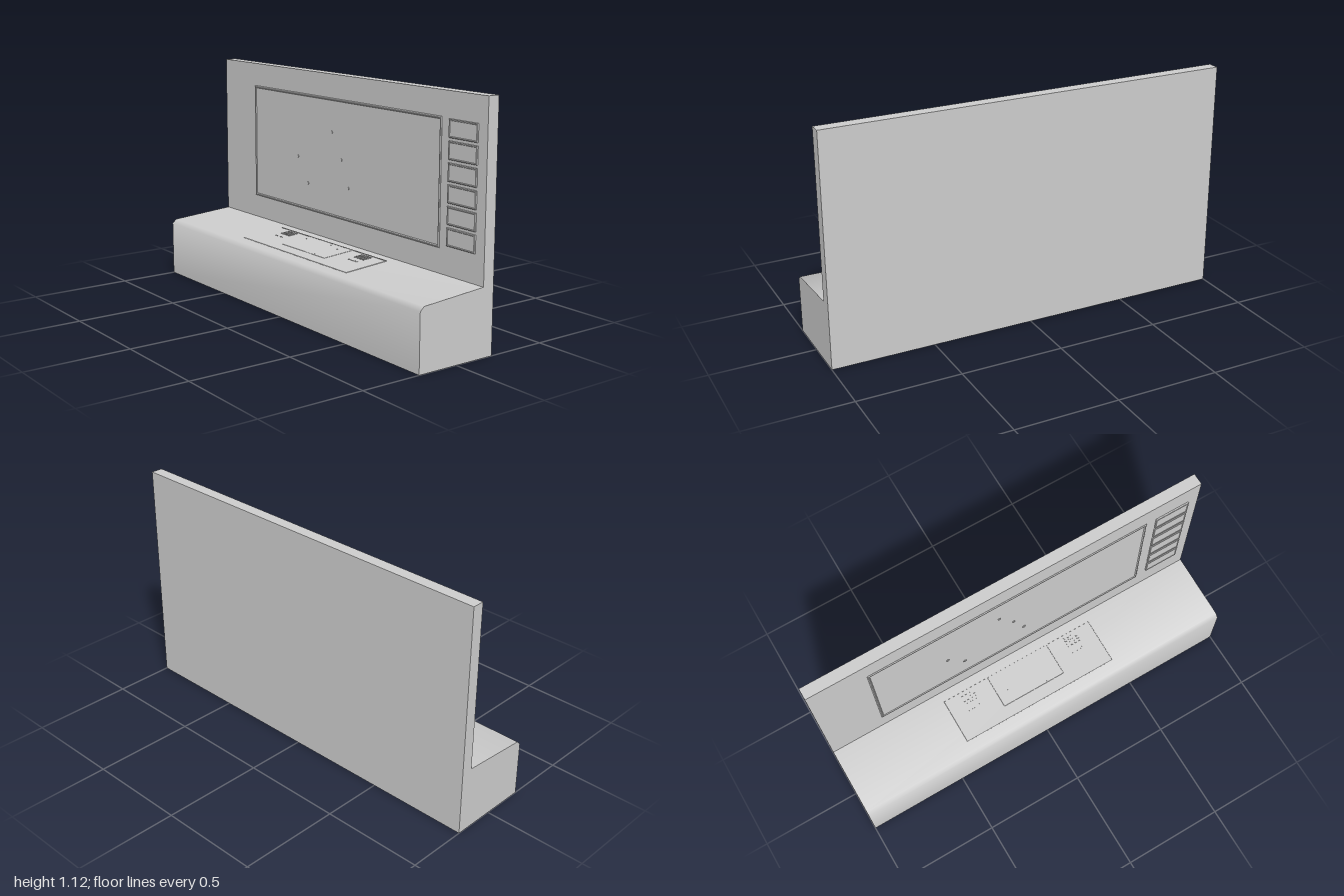
import * as THREE from 'three';
import { toCreasedNormals } from 'three/addons/utils/BufferGeometryUtils.js';

const material = new THREE.MeshStandardMaterial({ color: 0xcccccc });
const WALL_Z = -0.147;

function add(parent, name, geometry, x = 0, y = 0, z = 0) {
  const mesh = new THREE.Mesh(geometry, material);
  mesh.name = name;
  mesh.position.set(x, y, z);
  parent.add(mesh);
  return mesh;
}

function rect(path, w, h) {
  path.moveTo(-w / 2, -h / 2);
  path.lineTo(w / 2, -h / 2);
  path.lineTo(w / 2, h / 2);
  path.lineTo(-w / 2, h / 2);
  path.closePath();
  return path;
}

// Rectangular plate facing +z with a chamfered rim; a border width makes it a frame
function plate(w, h, depth, bevel, border = 0) {
  const shape = rect(new THREE.Shape(), w, h);
  if (border) shape.holes.push(rect(new THREE.Path(), w - 2 * border, h - 2 * border));
  return new THREE.ExtrudeGeometry(shape, {
    depth: depth - bevel, bevelEnabled: true, bevelSegments: 1,
    bevelSize: bevel, bevelThickness: bevel, bevelOffset: -bevel,
  });
}

// Small round stud facing +z
const stud = (r, h) => new THREE.CylinderGeometry(r, r, h, 12).rotateX(Math.PI / 2);

export function createModel() {
  const model = new THREE.Group();
  model.name = 'wallConsole';

  // Wall and desk share one side profile, given as (z, y)
  const profile = new THREE.Shape([
    [-0.205, 0], [0.205, 0], [0.205, 0.27], [0.185, 0.29],
    [WALL_Z, 0.315], [WALL_Z, 1.125], [-0.205, 1.125],
  ].map(([z, y]) => new THREE.Vector2(z, y)));
  const body = new THREE.ExtrudeGeometry(profile, { depth: 2, bevelEnabled: false });
  body.rotateY(-Math.PI / 2).translate(1, 0, 0);
  add(model, 'wallAndDesk', toCreasedNormals(body, 0.83));

  // Main screen with its frame and marker studs
  const screen = new THREE.Group();
  screen.name = 'mainScreen';
  screen.position.set(0, 0.72, WALL_Z);
  model.add(screen);
  add(screen, 'screenFrame', plate(1.44, 0.58, 0.005, 0.004, 0.012));
  add(screen, 'screenPanel', new THREE.BoxGeometry(1.42, 0.56, 0.002));
  for (const [x, y] of [[-0.06, 0.125], [-0.34, -0.03], [0.015, 0], [0.07, -0.13], [-0.255, -0.155]]) {
    add(screen, 'screenMarker', stud(0.008, 0.004), x, y, 0.002);
  }

  // Column of raised side displays
  for (let i = 0; i < 6; i++) {
    const y = 0.965 - i * 0.095;
    add(model, 'sideDisplay', plate(0.175, 0.081, 0.007, 0.003), 0.858, y, WALL_Z);
    add(model, 'sideDisplayRim', plate(0.175, 0.081, 0.009, 0.002, 0.007), 0.858, y, WALL_Z);
  }

  // Control panel lying on the sloping desk top; its local z points out of the desk
  const panel = new THREE.Group();
  panel.name = 'controlPanel';
  panel.position.set(0, 0.304, 0);
  panel.rotation.x = Math.atan2(0.025, 0.332) - Math.PI / 2;
  model.add(panel);
  add(panel, 'panelPlate', plate(0.83, 0.235, 0.002, 0.001), 0, -0.015, 0);
  add(panel, 'panelScreen', plate(0.34, 0.17, 0.003, 0.001), 0, 0.015, 0);
  add(panel, 'panelBackRail', new THREE.BoxGeometry(0.83, 0.005, 0.006), 0, 0.1, 0.001);

  // Key pads on both sides
  for (const side of [-1, 1]) {
    for (let row = 0; row < 4; row++) {
      for (let col = 0; col < 4; col++) {
        add(panel, 'key', new THREE.BoxGeometry(0.011, 0.007, 0.004),
          side * 0.295 + (col - 1.5) * 0.02, 0.08 - row * 0.014, 0.003);
      }
    }
    for (let i = 0; i < 4; i++) {
      add(panel, 'lowerKey', new THREE.BoxGeometry(0.011, 0.007, 0.003),
        side * 0.295 + (i - 1.5) * 0.02, 0, 0.002);
    }
  }

  // Markers on the panel screen
  for (const [x, y] of [[-0.155, 0.065], [0.025, 0.08], [0.1, 0.06], [-0.11, -0.005],
    [0.06, 0.015], [0.13, -0.04], [0.08, -0.062]]) {
    add(panel, 'panelMarker', stud(0.004, 0.003), x, y, 0.003);
  }

  return model;
}
